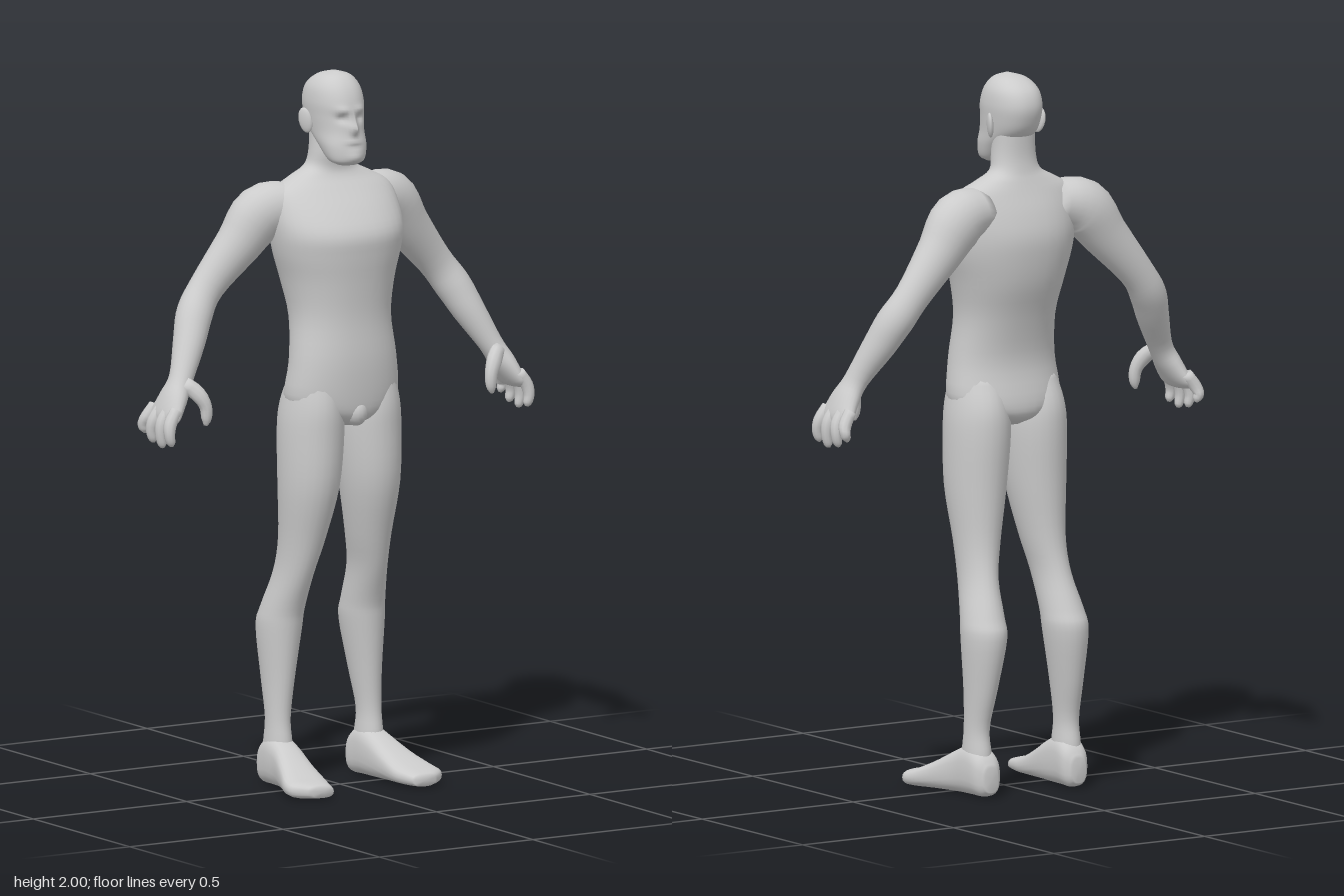
import * as THREE from 'three';

const material = new THREE.MeshStandardMaterial({ color: 0xcccccc });
const X = new THREE.Vector3(1, 0, 0), Y = new THREE.Vector3(0, 1, 0), Z = new THREE.Vector3(0, 0, 1);

// Smooth closed skin through rings [x, y, z, halfWidth, halfDepth].
// plane 'level' = horizontal rings, 'upright' = rings facing z, 'limb' = rings square to the path in xy.
function loft(name, rings, { plane = 'level', side = 1, power = 1, sides = 24, per = 4, shape } = {}) {
  const centres = new THREE.CatmullRomCurve3(rings.map(r => new THREE.Vector3(r[0], r[1], r[2])), false, 'catmullrom');
  const sizes = new THREE.CatmullRomCurve3(rings.map(r => new THREE.Vector3(r[3], r[4], 0)), false, 'catmullrom');
  const rows = (rings.length - 1) * per;
  const positions = [], index = [];
  const round = v => Math.sign(v) * Math.abs(v) ** power;
  const put = p => {
    if (shape) shape(p);
    positions.push(p.x * side, p.y, p.z);
  };
  let turn = 0;
  for (let i = 0; i <= rows; i++) {
    const t = i / rows, c = centres.getPoint(t), s = sizes.getPoint(t), dir = centres.getTangent(t);
    const u = plane === 'limb' ? new THREE.Vector3(-dir.y, dir.x, 0).normalize() : X;
    const v = plane === 'upright' ? Y : Z;
    turn += u.clone().cross(v).dot(dir);
    for (let j = 0; j < sides; j++) {
      const a = j / sides * Math.PI * 2;
      put(c.clone().addScaledVector(u, Math.max(s.x, 0.002) * round(Math.cos(a)))
        .addScaledVector(v, Math.max(s.y, 0.002) * round(Math.sin(a))));
    }
  }
  put(centres.getPoint(0));
  put(centres.getPoint(1));
  const first = (rows + 1) * sides, flip = turn * side < 0;
  const face = (a, b, c) => flip ? index.push(a, c, b) : index.push(a, b, c);
  for (let j = 0; j < sides; j++) {
    const k = (j + 1) % sides;
    for (let i = 0; i < rows; i++) {
      const p = i * sides, q = p + sides;
      face(p + j, p + k, q + k);
      face(p + j, q + k, q + j);
    }
    face(first, k, j);
    face(first + 1, rows * sides + j, rows * sides + k);
  }
  const geometry = new THREE.BufferGeometry();
  geometry.setAttribute('position', new THREE.Float32BufferAttribute(positions, 3));
  geometry.setIndex(index);
  geometry.computeVertexNormals();
  const mesh = new THREE.Mesh(geometry, material);
  mesh.name = name;
  return mesh;
}

// Ring from height, half width, front z and back z
const level = (y, w, front, back, x = 0) => [x, y, (front + back) / 2, w, (front - back) / 2];

// Facial relief: soft pushes along z
function faceRelief(p) {
  if (p.z < 0.015) return;
  const bump = (x, y, sx, sy, h) => h * Math.exp(-(((Math.abs(p.x) - x) / sx) ** 2) - ((p.y - y) / sy) ** 2);
  p.z += bump(0, 1.85, 0.011, 0.016, 0.022) + bump(0, 1.875, 0.009, 0.02, 0.012) // nose
    + bump(0.027, 1.902, 0.02, 0.01, 0.007)   // brows
    - bump(0.028, 1.878, 0.014, 0.011, 0.011) // eye sockets
    + bump(0, 1.812, 0.022, 0.006, 0.004) - bump(0, 1.803, 0.024, 0.004, 0.005) // mouth
    + bump(0, 1.77, 0.025, 0.016, 0.008);     // bearded chin
}

function addSide(body, side) {
  const tag = side > 0 ? 'left' : 'right';
  const limb = { plane: 'limb', side };

  // Leg: thigh, knee, calf and ankle
  body.add(loft(tag + 'Leg', [
    level(1.16, 0.065, 0.09, -0.075, 0.088),
    level(1.08, 0.08, 0.105, -0.108, 0.092),
    level(1.0, 0.087, 0.105, -0.115, 0.093),
    level(0.85, 0.08, 0.095, -0.107, 0.099),
    level(0.7, 0.06, 0.052, -0.105, 0.108),
    level(0.6, 0.05, 0.02, -0.122, 0.12),
    level(0.5, 0.058, -0.018, -0.16, 0.131),
    level(0.44, 0.06, -0.028, -0.178, 0.135),
    level(0.3, 0.043, -0.04, -0.155, 0.142),
    level(0.19, 0.033, -0.045, -0.13, 0.148),
    level(0.12, 0.036, -0.036, -0.138, 0.148),
    level(0.06, 0.036, -0.035, -0.14, 0.148),
  ], { side }));

  // Foot: heel to toes, turned slightly outward
  body.add(loft(tag + 'Foot', [
    [0.145, 0.05, -0.158, 0.022, 0.035],
    [0.145, 0.06, -0.135, 0.041, 0.058],
    [0.148, 0.072, -0.09, 0.045, 0.07],
    [0.152, 0.063, -0.03, 0.048, 0.061],
    [0.165, 0.044, 0.04, 0.058, 0.042],
    [0.178, 0.03, 0.1, 0.068, 0.028],
    [0.182, 0.025, 0.14, 0.062, 0.023],
    [0.166, 0.022, 0.178, 0.034, 0.016],
  ], { plane: 'upright', side, power: 0.75 }));

  // Arm and palm
  body.add(loft(tag + 'Arm', [
    [0.11, 1.635, -0.06, 0.06, 0.07],
    [0.205, 1.612, -0.08, 0.08, 0.074],
    [0.275, 1.53, -0.09, 0.066, 0.06],
    [0.37, 1.42, -0.1, 0.05, 0.046],
    [0.42, 1.35, -0.086, 0.051, 0.053],
    [0.455, 1.28, -0.06, 0.045, 0.05],
    [0.505, 1.185, -0.022, 0.033, 0.038],
    [0.535, 1.135, -0.013, 0.032, 0.054],
    [0.56, 1.09, -0.014, 0.025, 0.07],
    [0.57, 1.07, -0.015, 0.014, 0.064],
  ], limb));

  // Fingers, index to little
  const hand = new THREE.Group();
  hand.name = tag + 'Fingers';
  [[0.043, 0.01], [0.002, 0], [-0.041, 0.008], [-0.08, 0.028]].forEach(([z, lift], i) => {
    const spread = z * 1.12;
    hand.add(loft('finger' + (i + 1), [
      [0.557, 1.11, z * 0.9, 0.017, 0.018],
      [0.58, 1.075, z, 0.018, 0.019],
      [0.586, 1.04 + lift / 2, spread, 0.015, 0.016],
      [0.581, 1.012 + lift, spread, 0.012, 0.013],
      [0.578, 1.002 + lift, spread, 0.004, 0.005],
    ], { ...limb, sides: 10, per: 3 }));
  });
  // Thumb
  hand.add(loft('thumb', [
    [0.515, 1.18, 0.005, 0.02, 0.022],
    [0.485, 1.15, 0.03, 0.023, 0.022],
    [0.466, 1.115, 0.043, 0.018, 0.018],
    [0.464, 1.08, 0.046, 0.015, 0.014],
    [0.467, 1.06, 0.046, 0.005, 0.006],
  ], { ...limb, sides: 10, per: 3 }));
  body.add(hand);

  // Ear
  const ear = new THREE.Mesh(new THREE.SphereGeometry(1, 14, 10), material);
  ear.name = tag + 'Ear';
  ear.scale.set(0.009, 0.036, 0.022);
  ear.position.set(side * 0.08, 1.864, -0.052);
  ear.rotation.set(-0.2, side * -0.4, side * -0.15);
  body.add(ear);
}

export function createModel() {
  const body = new THREE.Group();
  body.name = 'standingMan';

  // Torso from crotch to neck
  body.add(loft('torso', [
    level(1.02, 0.03, 0.07, -0.06),
    level(1.045, 0.11, 0.1, -0.1),
    level(1.09, 0.168, 0.112, -0.108),
    level(1.2, 0.16, 0.118, -0.092),
    level(1.32, 0.148, 0.112, -0.115),
    level(1.42, 0.163, 0.118, -0.148),
    level(1.5, 0.185, 0.126, -0.163),
    level(1.56, 0.195, 0.125, -0.165),
    level(1.62, 0.195, 0.085, -0.15),
    level(1.675, 0.18, 0.035, -0.128),
    level(1.708, 0.125, 0.006, -0.115),
    level(1.735, 0.076, -0.002, -0.106),
    level(1.78, 0.064, 0.005, -0.099),
    level(1.85, 0.06, 0.0, -0.1),
  ], { sides: 36, power: 0.92 }));

  // Head
  body.add(loft('head', [
    level(1.748, 0.03, 0.062, 0.012),
    level(1.762, 0.052, 0.076, -0.012),
    level(1.8, 0.064, 0.078, -0.055),
    level(1.84, 0.068, 0.07, -0.11),
    level(1.88, 0.072, 0.066, -0.132),
    level(1.92, 0.074, 0.064, -0.138),
    level(1.96, 0.066, 0.048, -0.122),
    level(1.988, 0.043, 0.022, -0.083),
    level(2.0, 0.008, -0.01, -0.04),
  ], { sides: 56, per: 6, power: 0.9, shape: faceRelief }));

  // Groin
  const groin = new THREE.Mesh(new THREE.SphereGeometry(1, 16, 12), material);
  groin.name = 'groin';
  groin.scale.set(0.032, 0.04, 0.035);
  groin.position.set(0, 1.06, 0.082);
  body.add(groin);

  for (const side of [1, -1]) addSide(body, side);
  return body;
}
